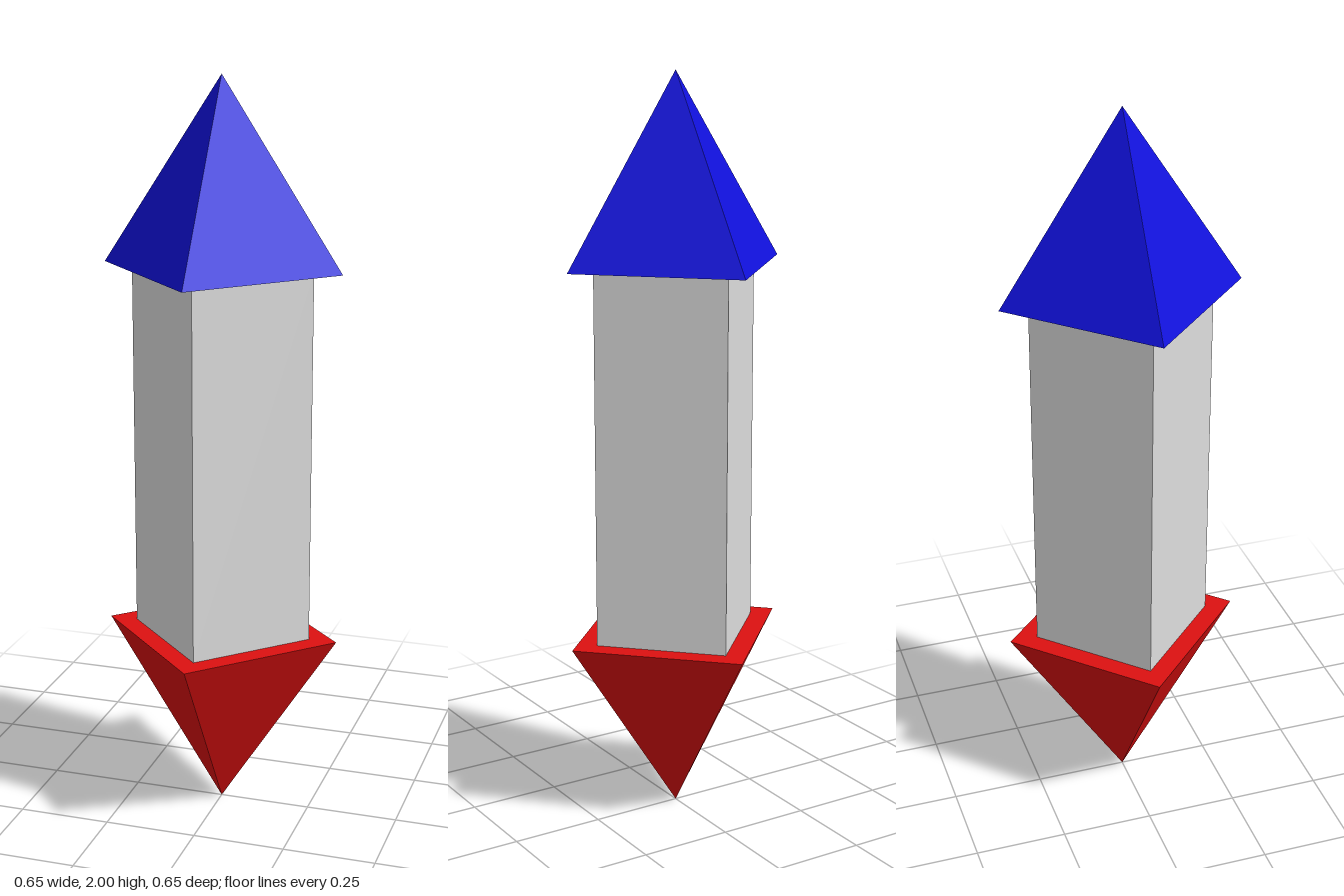
import * as THREE from 'three';

const paint = (name, color) => {
  const material = new THREE.MeshStandardMaterial({ color });
  material.name = name;
  material.flatShading = true;
  return material;
};

export function createModel() {
  const group = new THREE.Group();
  group.name = 'doubleEndedArrow';

  // Four-sided solid with its corners on the x and z axes
  const addPart = (name, topRadius, bottomRadius, y0, y1, material) => {
    const geometry = new THREE.CylinderGeometry(topRadius, bottomRadius, y1 - y0, 4);
    const mesh = new THREE.Mesh(geometry, material);
    mesh.name = name;
    mesh.position.y = (y0 + y1) / 2;
    group.add(mesh);
  };

  const tipRadius = 0.323, shaftRadius = 0.247;
  const low = 0.502, high = 1.505;

  // Downward point, square shaft, upward point
  addPart('lowerPoint', tipRadius, 0, 0, low, paint('red', 0xdd1111));
  addPart('shaft', shaftRadius, shaftRadius, low, high, paint('lightGrey', 0xdddddd));
  addPart('upperPoint', 0, tipRadius, high, 2, paint('blue', 0x1111dd));

  return group;
}
